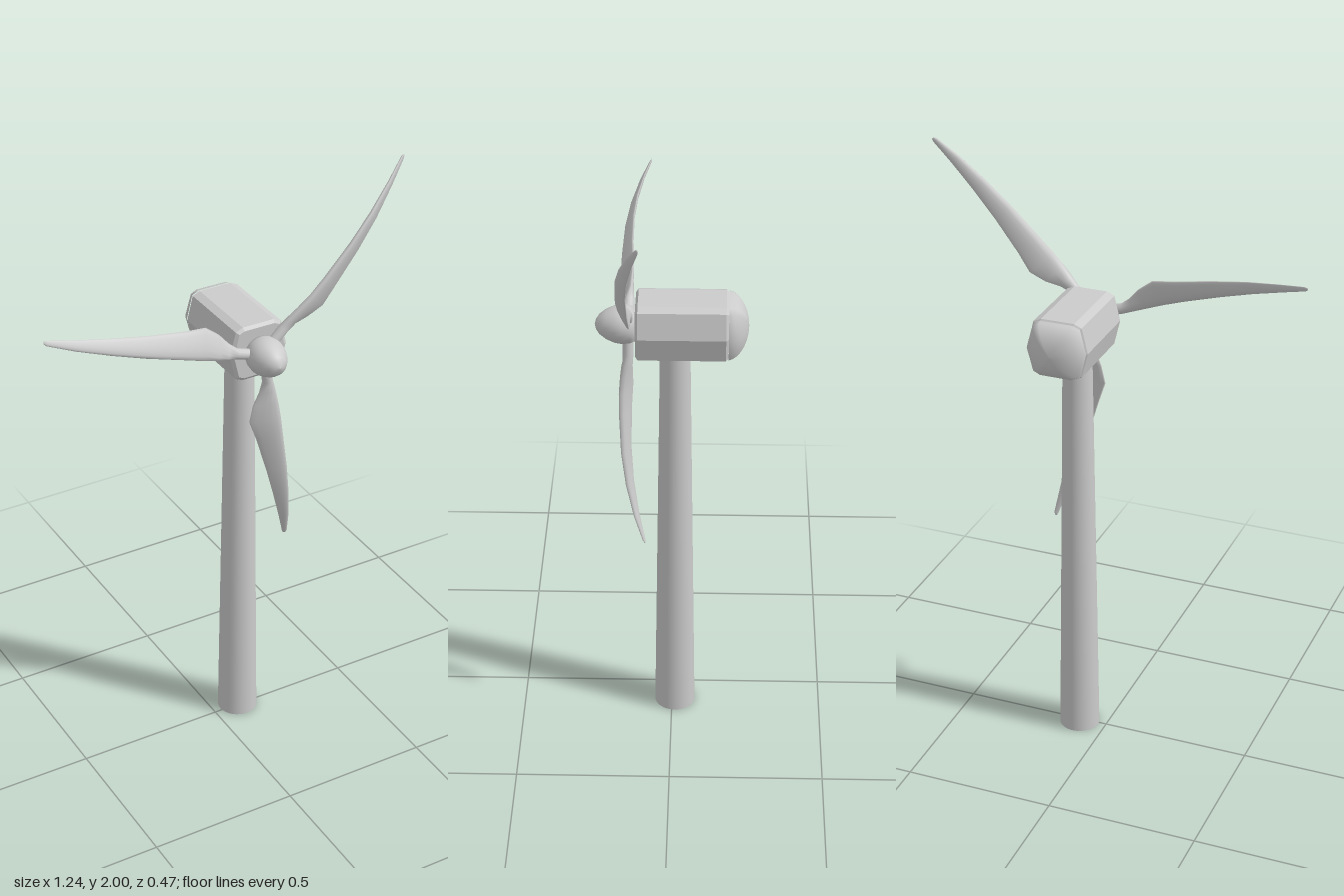
import * as THREE from 'three';

const HUB = { x: 0.093, y: 1.47 };
const mat = new THREE.MeshStandardMaterial({ color: 0xcccccc });
const matOpen = new THREE.MeshStandardMaterial({ color: 0xcccccc, side: THREE.DoubleSide });

// Skin a list of closed rings of [x, y, z]; rings run counter-clockwise seen from the last one
function loft(rings) {
  const n = rings[0].length, index = [];
  for (let i = 0; i < rings.length - 1; i++) {
    for (let j = 0; j < n; j++) {
      const k = (j + 1) % n, a = i * n + j, b = i * n + k;
      index.push(a, b, b + n, a, b + n, a + n);
    }
  }
  const last = (rings.length - 1) * n;
  for (let j = 1; j < n - 1; j++) index.push(last, last + j, last + j + 1);
  const g = new THREE.BufferGeometry();
  g.setAttribute('position', new THREE.Float32BufferAttribute(rings.flat(2), 3));
  g.setIndex(index);
  g.computeVertexNormals();
  return g;
}

// Blade stations: radius, leading edge, trailing edge, z, half thickness, twist in z
const STATIONS = [
  [0.03, -0.017, 0.017, 0.135, 0.017, 0],
  [0.10, -0.017, 0.017, 0.135, 0.017, 0],
  [0.135, -0.017, 0.032, 0.136, 0.017, 0.008],
  [0.175, -0.017, 0.058, 0.138, 0.016, 0.014],
  [0.23, -0.015, 0.08, 0.141, 0.015, 0.017],
  [0.30, -0.013, 0.068, 0.143, 0.014, 0.015],
  [0.43, -0.012, 0.051, 0.141, 0.012, 0.012],
  [0.54, -0.011, 0.037, 0.13, 0.01, 0.009],
  [0.65, -0.01, 0.021, 0.109, 0.007, 0.006],
  [0.735, -0.007, 0.009, 0.086, 0.004, 0.002],
  [0.745, -0.003, 0.005, 0.083, 0.002, 0.001],
];

function bladeGeometry() {
  const N = 14;
  return loft(STATIONS.map(([r, lead, trail, z, half, twist]) => {
    const taper = twist > 0 ? 0.6 : 0; // thin trailing edge outside the root
    return Array.from({ length: N }, (_, j) => {
      const t = (j / N) * Math.PI * 2, u = (1 - Math.cos(t)) / 2;
      const thick = half * Math.sin(t) * (1 - taper * u) * (1 + taper * 0.4);
      return [lead + (trail - lead) * u, r, z + twist * (1 - 2 * u) + thick];
    });
  }));
}

// Barrel-sided outline of the nacelle, counter-clockwise from the front
const OUTLINE = [
  [0.1, 0], [0.08, 0.082], [0.055, 0.093], [-0.055, 0.093], [-0.08, 0.082],
  [-0.1, 0], [-0.08, -0.082], [-0.055, -0.093], [0.055, -0.093], [0.08, -0.082],
];

export function createModel() {
  const group = new THREE.Group();
  const add = (name, geometry, material, x, y, z) => {
    const mesh = new THREE.Mesh(geometry, material);
    mesh.name = name;
    mesh.position.set(x, y, z);
    group.add(mesh);
    return mesh;
  };

  // Tapered tower, open below
  add('tower', new THREE.CylinderGeometry(0.047, 0.067, 1.4, 32, 1, true), matOpen, HUB.x, 0.7, -0.01);

  // Nacelle body with small bevelled ends
  const shape = new THREE.Shape(OUTLINE.map(([x, y]) => new THREE.Vector2(x, y)));
  const body = new THREE.ExtrudeGeometry(shape, {
    depth: 0.27, bevelEnabled: true, bevelThickness: 0.008, bevelSize: 0.01, bevelOffset: -0.01, bevelSegments: 1,
  });
  add('nacelle', body, mat, HUB.x, HUB.y, -0.167);

  // Rounded rear cap, turning from the outline to a circle
  const rear = [...OUTLINE].reverse();
  const rings = [];
  for (let i = 0; i <= 7; i++) {
    const a = (i / 7) * Math.PI * 0.49, s = Math.cos(a), f = i / 7;
    rings.push(rear.map(([x, y]) => {
      const k = 1 + f * (0.1 / Math.hypot(x, y) - 1);
      return [x * s * k * 0.97, y * s * k * 0.97, -0.062 * Math.sin(a)];
    }));
  }
  add('rearCap', loft(rings), mat, HUB.x, HUB.y, -0.175);

  // Pointed round spinner
  const profile = [[0, 0], [0.05, 0], [0.059, 0.02], [0.062, 0.045], [0.058, 0.068], [0.047, 0.094],
    [0.032, 0.114], [0.016, 0.125], [0, 0.129]].map(([r, h]) => new THREE.Vector2(r, h));
  const spinner = add('spinner', new THREE.LatheGeometry(profile, 28), mat, HUB.x, HUB.y, 0.108);
  spinner.rotation.x = Math.PI / 2;

  // Three blades
  const blade = bladeGeometry();
  [45.4, 163.4, 279.4].forEach((deg, i) => {
    const mesh = add('blade' + (i + 1), blade, mat, HUB.x, HUB.y, 0);
    mesh.rotation.z = THREE.MathUtils.degToRad(deg - 90);
  });
  return group;
}
